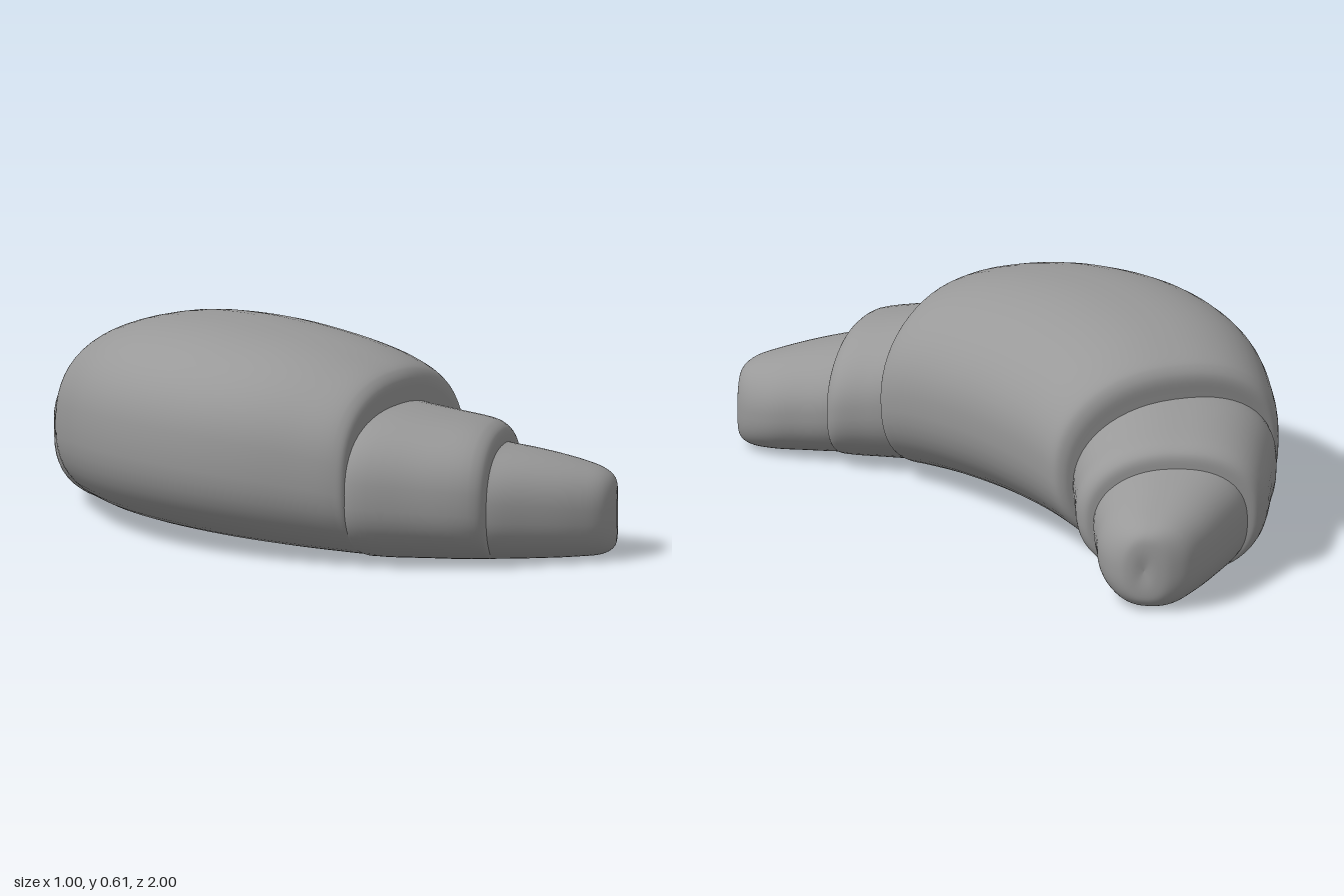
import * as THREE from 'three';

const RING = 56, STEPS = 5;

// Each section: outer x, outer z, inner x, inner z, bottom y, top y
const bodyHalf = [
  [-0.503, 0, 0.355, 0, 0.012, 0.612],
  [-0.487, 0.17, 0.357, 0.13, 0.011, 0.605],
  [-0.44, 0.33, 0.36, 0.25, 0.009, 0.588],
  [-0.37, 0.47, 0.365, 0.35, 0.006, 0.558],
  [-0.31, 0.565, 0.362, 0.40, 0.004, 0.526],
  [-0.285, 0.588, 0.345, 0.42, 0.006, 0.495],
  [-0.25, 0.582, 0.31, 0.432, 0.03, 0.44],
  [0.02, 0.505, 0.02, 0.505, 0.22, 0.22],
];
const fold = [
  [0, 0.48, 0, 0.48, 0.22, 0.22],
  [-0.27, 0.56, 0.29, 0.40, 0.004, 0.435],
  [-0.275, 0.595, 0.32, 0.435, 0.003, 0.43],
  [-0.165, 0.725, 0.36, 0.495, 0.002, 0.41],
  [-0.045, 0.848, 0.403, 0.56, 0.002, 0.385],
  [-0.005, 0.865, 0.404, 0.595, 0.005, 0.36],
  [0.03, 0.85, 0.377, 0.62, 0.025, 0.312],
  [0.2, 0.735, 0.2, 0.735, 0.16, 0.16],
];
const tip = [
  [0.18, 0.71, 0.18, 0.71, 0.16, 0.16],
  [0.01, 0.84, 0.37, 0.60, 0.003, 0.325],
  [0.03, 0.86, 0.39, 0.62, 0.002, 0.32],
  [0.13, 0.915, 0.435, 0.69, 0.001, 0.302],
  [0.25, 0.972, 0.482, 0.765, 0.002, 0.275],
  [0.335, 0.998, 0.501, 0.835, 0.008, 0.25],
  [0.392, 0.987, 0.497, 0.885, 0.027, 0.222],
  [0.427, 0.963, 0.48, 0.911, 0.062, 0.183],
  [0.449, 0.932, 0.449, 0.932, 0.122, 0.122],
];

const mirrorZ = (s) => s.map(([ox, oz, ix, iz, b, t]) => [ox, -oz, ix, -iz, b, t]).reverse();

// Rounded-square closed cross-sections lofted along smooth guide curves
function loft(name, sections) {
  const outer = new THREE.CatmullRomCurve3(sections.map((s) => new THREE.Vector3(s[0], s[4], s[1])));
  const inner = new THREE.CatmullRomCurve3(sections.map((s) => new THREE.Vector3(s[2], s[5], s[3])));
  const rows = (sections.length - 1) * STEPS;
  const pos = [], index = [];
  for (let i = 0; i <= rows; i++) {
    const o = outer.getPoint(i / rows), n = inner.getPoint(i / rows);
    for (let j = 0; j < RING; j++) {
      const a = (j / RING) * Math.PI * 2, c = Math.cos(a), s = Math.sin(a);
      // softer shoulder on the inner top, squarer elsewhere
      const e = 2 / (c > 0 && s > 0 ? 2.1 : 2.45);
      const u = 0.5 + 0.5 * Math.sign(c) * Math.abs(c) ** e;
      const v = 0.5 + 0.5 * Math.sign(s) * Math.abs(s) ** e;
      pos.push(o.x + (n.x - o.x) * u, o.y + (n.y - o.y) * v, o.z + (n.z - o.z) * u);
      if (i < rows) {
        const k = (j + 1) % RING, p = i * RING, q = p + RING;
        index.push(p + j, p + k, q + j, p + k, q + k, q + j);
      }
    }
  }
  const geo = new THREE.BufferGeometry();
  geo.setAttribute('position', new THREE.Float32BufferAttribute(pos, 3));
  geo.setIndex(index);
  geo.computeVertexNormals();
  const mesh = new THREE.Mesh(geo, new THREE.MeshStandardMaterial({ color: 0x999999 }));
  mesh.name = name;
  return mesh;
}

export function createModel() {
  const group = new THREE.Group();
  group.name = 'croissant';
  // Wide middle roll
  group.add(loft('middleRoll', [...mirrorZ(bodyHalf.slice(1)), ...bodyHalf]));
  // Stepped folds and rounded tips at both ends
  group.add(loft('frontFold', fold), loft('backFold', mirrorZ(fold)));
  group.add(loft('frontTip', tip), loft('backTip', mirrorZ(tip)));
  return group;
}
